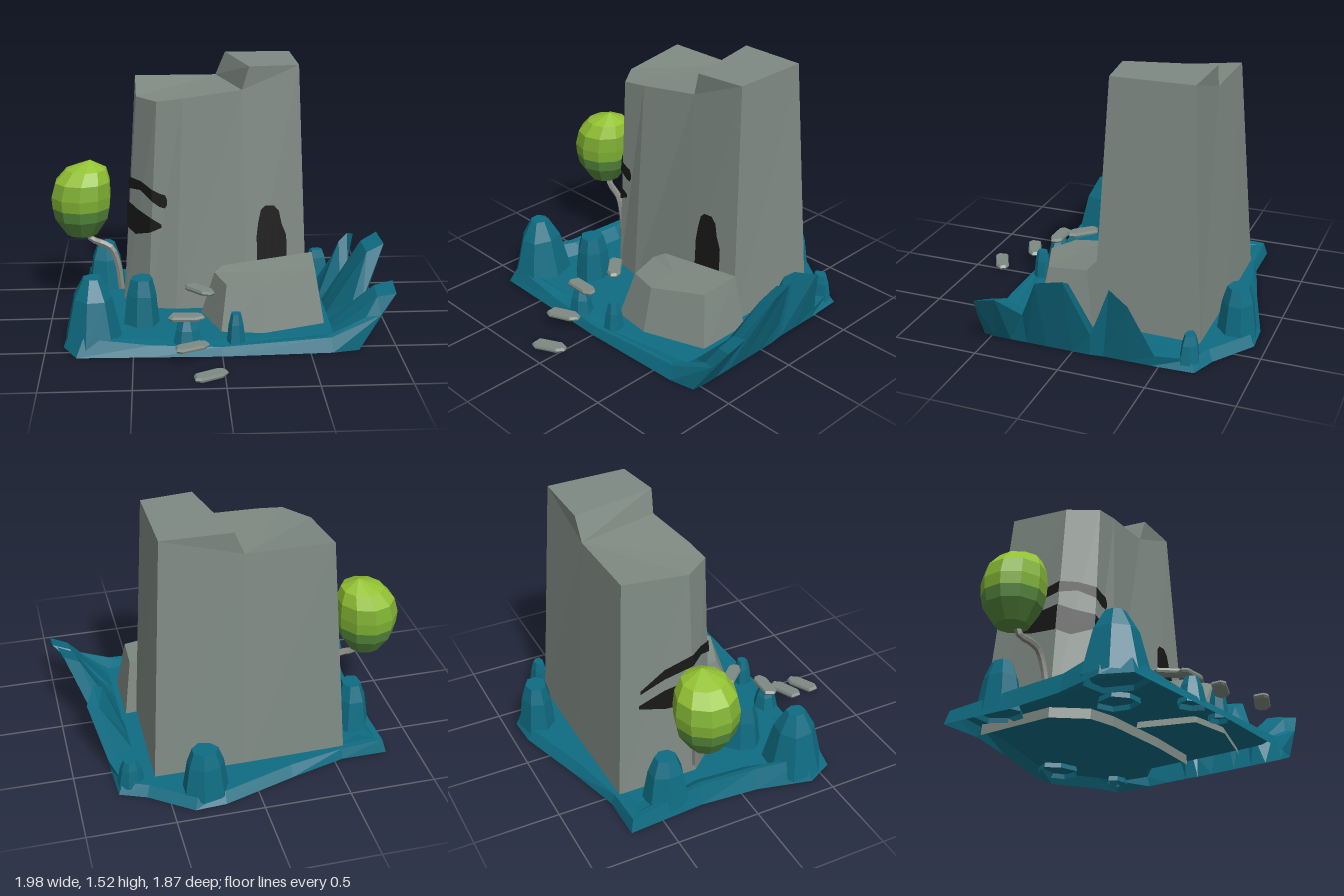
import * as THREE from 'three';

const mat = (name, color, side = THREE.FrontSide) => {
  const m = new THREE.MeshStandardMaterial({ color, side, flatShading: true });
  m.name = name;
  return m;
};

// Flat-faced geometry from convex polygons
function polys(faces) {
  const p = [];
  for (const f of faces)
    for (let i = 1; i < f.length - 1; i++) p.push(...f[0], ...f[i], ...f[i + 1]);
  const g = new THREE.BufferGeometry();
  g.setAttribute('position', new THREE.Float32BufferAttribute(p, 3));
  g.computeVertexNormals();
  return g;
}

// Walls between stacked rings
function walls(rings) {
  const faces = [];
  for (let r = 0; r < rings.length - 1; r++) {
    const a = rings[r], b = rings[r + 1];
    a.forEach((p, i) => {
      const j = (i + 1) % a.length;
      faces.push([p, a[j], b[j], b[i]]);
    });
  }
  return faces;
}

// Fan cap around the middle of a ring
function cap(ring) {
  const c = [0, 1, 2].map(k => ring.reduce((s, p) => s + p[k], 0) / ring.length);
  return ring.map((p, i) => [c, p, ring[(i + 1) % ring.length]]);
}

const loft = rings => polys([...walls(rings), ...cap(rings[rings.length - 1])]);

export function createModel() {
  const model = new THREE.Group();
  const stone = mat('stone grey', 0x7f8a83);
  const teal = mat('teal ground', 0x0f6c82, THREE.DoubleSide);
  const black = mat('black marking', 0x171717, THREE.DoubleSide);
  const bark = mat('bark grey', 0x85857f);
  const lime = mat('lime leaves', 0x93c233);
  const green = mat('mid green leaves', 0x7fb033);
  const dark = mat('dark green leaves', 0x55893d);
  const add = (name, geo, m, parent = model) => {
    const mesh = new THREE.Mesh(geo, m);
    mesh.name = name;
    parent.add(mesh);
    return mesh;
  };

  // Ground: base outline x, z, then rim x, y, z
  const edge = [
    [0, .6, 0, .05, .58], [.63, .58, .62, .08, .55], [.78, .55, .9, .2, .53],
    [.79, .48, .99, .32, .5], [.79, .38, .99, .35, .37], [.79, .28, .84, .2, .28],
    [.79, .16, .98, .49, .13], [.79, 0, .96, .515, -.02], [.79, -.1, .82, .14, -.12],
    [.78, -.18, .82, .44, -.23], [.78, -.32, .88, .39, -.36], [.78, -.46, .79, .07, -.48],
    [.77, -.7, .74, .06, -.67], [.62, -.76, .6, .06, -.73], [.38, -.93, .36, .06, -.9],
    [.2, -.92, .2, .06, -.88], [-.22, -.79, -.22, .06, -.75], [-.55, -.7, -.55, .06, -.68],
    [-.82, -.7, -.8, .08, -.68], [-.79, -.25, -.76, .12, -.25], [-.82, .1, -.78, .12, .1],
    [-.9, .42, -.85, .15, .4], [-.82, .58, -.78, .1, .54], [-.4, .59, -.4, .06, .56],
  ];
  const base = edge.map(e => [e[0], 0, e[1]]);
  const rim = edge.map(e => [e[2], e[3], e[4]]);
  const floor = edge.map(e => [e[0] * .82, .06, e[1] * .82]);
  const lip = rim.map((p, i) => p.map((v, k) => v + (floor[i][k] - v) * (k === 1 ? .12 : .3)));
  add('ground', loft([base, rim, lip, floor]), teal);

  // Rock peaks: x, z, radius x, radius z, height, top size
  [
    [-.73, .39, .17, .19, .41, .3], [-.45, .2, .11, .12, .33, .6],
    [-.2, .51, .09, .08, .19, .45], [.08, .5, .06, .06, .22, .5],
    [.3, -.81, .14, .11, .32, .55], [.69, -.65, .08, .06, .19, .5],
    [-.68, -.42, .13, .14, .34, .45],
  ].forEach(([x, z, rx, rz, h, t], n) => {
    const ring = (y, s) => Array.from({ length: 7 }, (_, i) => {
      const a = -i / 7 * Math.PI * 2 + n, j = s * (1 + .08 * Math.sin(i * 2.4 + n * 1.7));
      return [x + Math.cos(a) * rx * j, y, z + Math.sin(a) * rz * j];
    });
    add('rockPeak', loft([ring(.03, 1), ring(h * .72, (1 + t) / 2), ring(h, t)]), teal);
  });

  // Tower: corner columns running from back left round the front
  const foot = [[-.57, -.66], [-.57, -.17], [-.42, 0], [-.25, .03], [.18, .02],
    [.55, -.02], [.56, -.67], [.03, -.67]].map(([x, z]) => [x, 0, z]);
  const head = [[-.48, 1.38, -.57], [-.47, 1.33, -.17], [-.35, 1.33, -.01], [-.2, 1.345, -.02],
    [.15, 1.38, -.08], [.485, 1.52, -.105], [.48, 1.52, -.585], [.02, 1.38, -.575]];
  const stepFront = [.19, 1.52, -.07], stepBack = [.08, 1.52, -.585];
  const [A, B, C, C2, D, E, F, G] = head;
  add('tower', polys([
    ...walls([foot, head]),
    [D, E, stepFront], [F, G, stepBack],
    [G, D, stepFront, stepBack],
    [G, A, B, C, C2, D],
    [stepFront, E, F, stepBack],
  ]), stone);

  // Point just outside the tower wall at column position s and height y
  const wall = (s, y) => {
    const i = Math.floor(s), f = s - i;
    const at = k => foot[k].map((v, n) => v + (head[k][n] - v) * y / head[k][1]);
    const a = at(i), b = at(i + 1);
    const x = a[0] + (b[0] - a[0]) * f, z = a[2] + (b[2] - a[2]) * f;
    return [x * 1.02, y, -.33 + (z + .33) * 1.02];
  };

  // Dark markings on the wall: column position, lower y, upper y
  const marking = (name, rows) => {
    const faces = [];
    for (let i = 0; i < rows.length - 1; i++) {
      const [s, l, u] = rows[i], [s2, l2, u2] = rows[i + 1];
      faces.push([wall(s, l), wall(s2, l2), wall(s2, u2), wall(s, u)]);
    }
    add(name, polys(faces), black);
  };
  marking('doorway', [[4.18, .3, .5], [4.21, .3, .58], [4.26, .3, .66], [4.33, .3, .685],
    [4.48, .3, .685], [4.56, .3, .65], [4.6, .3, .57], [4.67, .3, .5]]);
  marking('upperOpening', [[.27, .69, .71], [.6, .74, .8], [1, .77, .84], [1.5, .78, .835],
    [2, .735, .805], [2.3, .7, .78], [2.5, .69, .77], [2.58, .71, .74]]);
  marking('lowerOpening', [[.25, .6, .62], [.6, .55, .67], [1, .53, .69], [1.4, .5, .66],
    [2, .54, .63], [2.4, .57, .59]]);

  // Boulder at the foot of the tower
  add('boulder', loft([
    [[-.11, .02, .08], [0, .02, .4], [.25, .02, .43], [.62, .02, .3], [.62, .02, -.05], [0, .02, 0]],
    [[-.02, .31, .08], [.04, .31, .29], [.25, .335, .36], [.56, .375, .24], [.57, .4, 0], [.03, .335, .03]],
  ]), stone);

  // Floating stepping stones: x, y, z, turn
  const outline = [[-.105, .02], [-.08, .045], [.06, .042], [.105, .015], [.1, -.02], [.07, -.04], [-.085, -.035]];
  const slabRing = (y, s) => outline.map(([x, z]) => [x * s, y, z * s]);
  const under = slabRing(0, .92);
  const slabGeo = polys([
    ...walls([under, slabRing(.012, 1), slabRing(.026, .88)]),
    ...cap(slabRing(.026, .88)),
    [...under].reverse(),
  ]);
  [[-.08, 0, .86, .45], [-.175, .083, .67, .4], [-.2, .19, .5, -.05], [-.115, .28, .31, -.85]]
    .forEach(([x, y, z, turn]) => {
      const slab = add('steppingStone', slabGeo, stone);
      slab.position.set(x, y, z);
      slab.rotation.y = turn;
    });

  // Tree: bent trunk and a faceted crown in three bands
  const tree = new THREE.Group();
  tree.name = 'tree';
  model.add(tree);
  const path = new THREE.CatmullRomCurve3([[-.58, .12, -.18], [-.6, .28, -.19], [-.64, .38, -.2],
    [-.7, .41, -.21], [-.76, .43, -.23], [-.78, .5, -.24]].map(p => new THREE.Vector3(...p)));
  add('trunk', new THREE.TubeGeometry(path, 14, .021, 6), bark, tree);
  const crown = (name, profile, m) => {
    const g = new THREE.LatheGeometry(profile.map(([r, y]) => new THREE.Vector2(r, y)), 10);
    const p = g.attributes.position;
    for (let i = 0; i < p.count; i++) {
      const t = Math.max(0, p.getY(i) - .7) / .23;
      p.setX(i, p.getX(i) + .06 * t * t);
    }
    const mesh = add(name, g, m, tree);
    mesh.position.set(-.815, 0, -.24);
  };
  crown('lowerCrown', [[0, .455], [.095, .465], [.165, .57], [.18, .64]], dark);
  crown('middleCrown', [[.18, .64], [.185, .71], [.17, .8]], green);
  crown('upperCrown', [[.17, .8], [.125, .875], [0, .93]], lime);

  return model;
}
